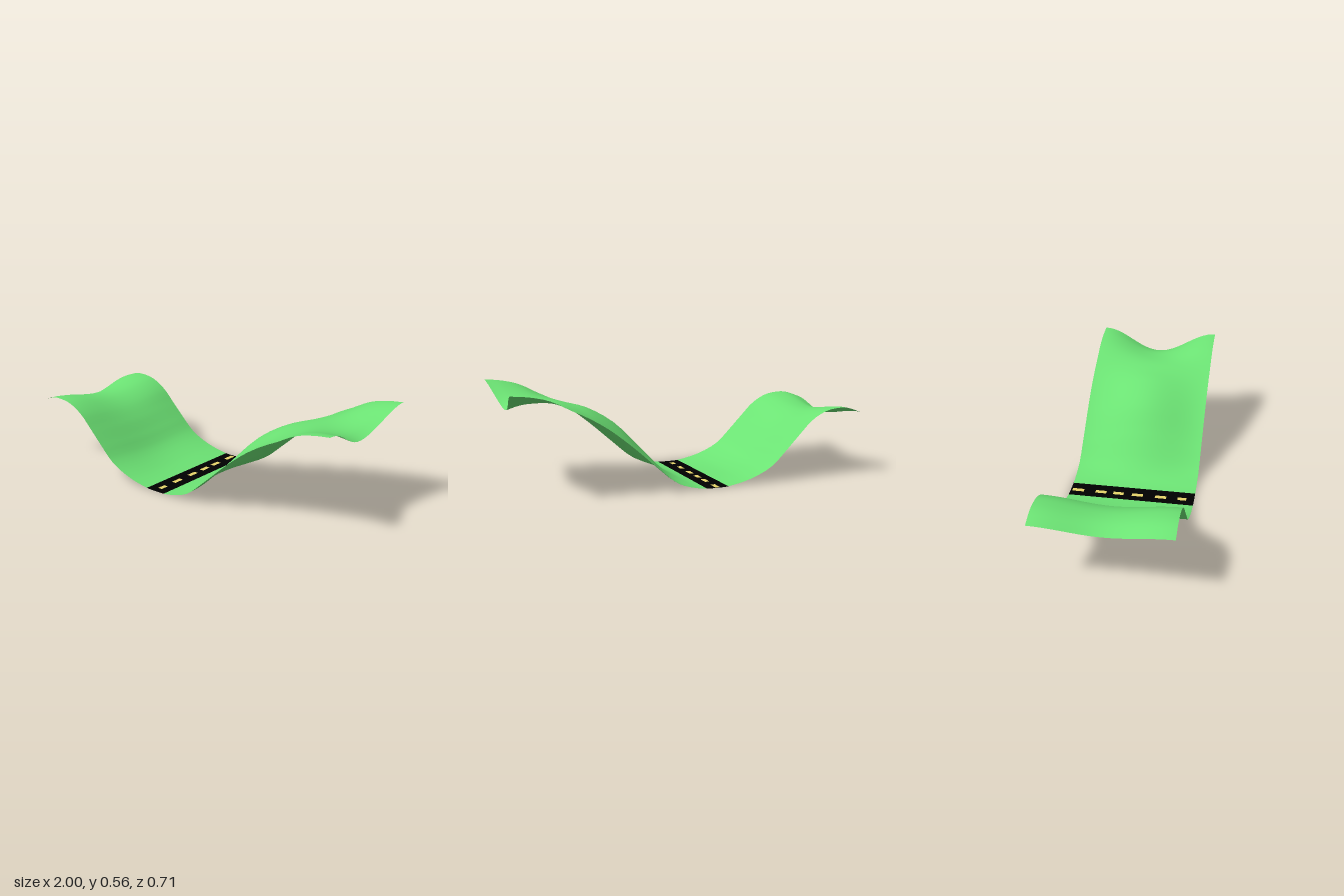
import * as THREE from 'three';

const HALF = 0.357; // half depth of the sheet

// Height profiles along x: at the front/back borders and along the middle line.
// Points 9 to 12 are the road borders and the borders of the dashed line.
const toCurve = (pts) => new THREE.CatmullRomCurve3(pts.map(([x, y]) => new THREE.Vector3(x, y, 0)));
const road = [[-0.166, 0.002], [-0.12, 0], [-0.093, 0], [-0.039, 0.001]];
const borderPts = [
  [-1, 0.358], [-0.91, 0.388], [-0.83, 0.388], [-0.765, 0.374], [-0.684, 0.33],
  [-0.6, 0.25], [-0.52, 0.17], [-0.433, 0.09], [-0.31, 0.033],
  ...road,
  [0.03, 0.012], [0.128, 0.045], [0.25, 0.145], [0.395, 0.273], [0.52, 0.37],
  [0.625, 0.433], [0.705, 0.472], [0.81, 0.525], [0.91, 0.55], [1, 0.56],
];
const middlePts = [
  [-0.968, 0.31], [-0.9, 0.342], [-0.83, 0.348], [-0.765, 0.337], [-0.684, 0.3],
  [-0.6, 0.235], [-0.52, 0.155], [-0.433, 0.073], [-0.31, 0.022],
  ...road,
  [0.03, 0.018], [0.11, 0.07], [0.25, 0.215], [0.375, 0.34], [0.52, 0.426],
  [0.615, 0.452], [0.705, 0.47], [0.8, 0.47], [0.89, 0.462], [0.963, 0.44],
];
const border = toCurve(borderPts);
const middle = toCurve(middlePts);
const LAST = borderPts.length - 1;

// Point of the sheet at profile index u and depth z
function surface(u, z) {
  const w = 0.5 + 0.5 * Math.cos((Math.PI * z) / HALF);
  const t = THREE.MathUtils.clamp(u / LAST, 0, 1);
  const p = border.getPoint(t).lerp(middle.getPoint(t), w);
  p.z = z;
  return p;
}

function normalAt(u, z) {
  const e = 0.01;
  const du = surface(u + e, z).sub(surface(u - e, z));
  const dz = surface(u, z + e).sub(surface(u, z - e));
  return dz.cross(du).normalize();
}

// Piece of the sheet between two profile indices and two depths
function patch(name, material, u0, u1, z0, z1) {
  const nu = Math.max(1, Math.round((u1 - u0) * 3));
  const nz = Math.max(1, Math.ceil((z1 - z0) / 0.024));
  const geometry = new THREE.PlaneGeometry(1, 1, nu, nz);
  const { position, normal } = geometry.attributes;
  for (let i = 0; i < position.count; i++) {
    const u = u0 + (position.getX(i) + 0.5) * (u1 - u0);
    const z = z0 + (0.5 - position.getY(i)) * (z1 - z0);
    const p = surface(u, z);
    const n = normalAt(u, z);
    position.setXYZ(i, p.x, p.y, p.z);
    normal.setXYZ(i, n.x, n.y, n.z);
  }
  const mesh = new THREE.Mesh(geometry, material);
  mesh.name = name;
  return mesh;
}

function flat(name, color) {
  const material = new THREE.MeshStandardMaterial({ color, side: THREE.DoubleSide });
  material.name = name;
  return material;
}

export function createModel() {
  const model = new THREE.Group();
  model.name = 'roadValley';
  const grass = flat('grass green', 0x6ce374);
  const asphalt = flat('asphalt black', 0x000000);
  const paint = flat('line yellow', 0xe6d46a);

  // Hills on both sides of the road
  model.add(patch('rightHill', grass, 0, 9, -HALF, HALF));
  model.add(patch('leftHill', grass, 12, LAST, -HALF, HALF));

  // Road lanes
  model.add(patch('rightLane', asphalt, 9, 10, -HALF, HALF));
  model.add(patch('leftLane', asphalt, 11, 12, -HALF, HALF));

  // Centre line: yellow dashes (centre, half length) with asphalt between them
  const dashes = [
    [-0.313, 0.034], [-0.18, 0.032], [-0.078, 0.03],
    [0.032, 0.032], [0.166, 0.032], [0.288, 0.025],
  ];
  let z = -HALF;
  for (const [centre, half] of dashes) {
    model.add(patch('roadGap', asphalt, 10, 11, z, centre - half));
    model.add(patch('lineDash', paint, 10, 11, centre - half, centre + half));
    z = centre + half;
  }
  model.add(patch('roadGap', asphalt, 10, 11, z, HALF));
  return model;
}
